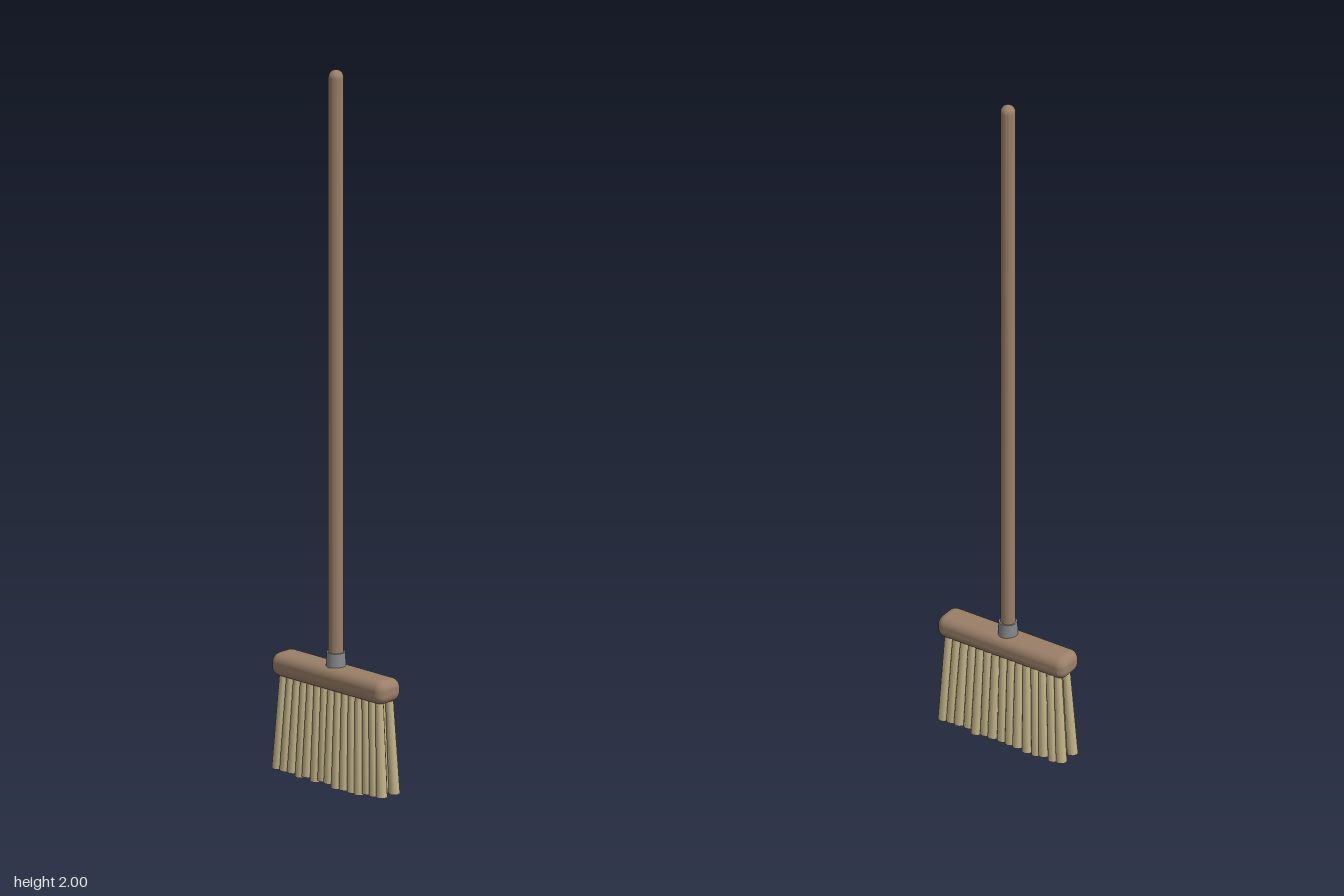
import * as THREE from 'three';
import { RoundedBoxGeometry } from 'three/addons/geometries/RoundedBoxGeometry.js';

const wood = new THREE.MeshStandardMaterial({ color: 0x9a7f68 });
const metal = new THREE.MeshStandardMaterial({ color: 0x85888c });
const straw = new THREE.MeshStandardMaterial({ color: 0xc4b58a });

// Small seeded generator, returns -1..1
function makeJitter(seed) {
  return () => {
    seed = (seed * 16807) % 2147483647;
    return (seed / 2147483647) * 2 - 1;
  };
}

function addMesh(parent, name, geometry, material, y = 0) {
  const mesh = new THREE.Mesh(geometry, material);
  mesh.name = name;
  mesh.position.y = y;
  parent.add(mesh);
  return mesh;
}

export function createModel() {
  const broom = new THREE.Group();
  broom.name = 'broom';
  const body = new THREE.Group();
  body.name = 'body';
  body.position.x = -0.002;
  broom.add(body);

  // Long round handle with a domed tip
  const profile = [new THREE.Vector2(0, 0.31), new THREE.Vector2(0.0205, 0.31)];
  for (let i = 0; i <= 6; i++) {
    const a = (i / 6) * Math.PI / 2;
    profile.push(new THREE.Vector2(0.0205 * Math.cos(a), 1.98 + 0.02 * Math.sin(a)));
  }
  addMesh(body, 'handle', new THREE.LatheGeometry(profile, 24), wood);

  // Metal collar where the handle meets the head
  addMesh(body, 'collar', new THREE.CylinderGeometry(0.025, 0.028, 0.05, 24), metal, 0.348);

  // Rounded wooden head
  addMesh(body, 'head', new RoundedBoxGeometry(0.412, 0.065, 0.087, 5, 0.026), wood, 0.303);

  // Two rows of tapered bristle bundles, splayed outwards
  const bristles = new THREE.Group();
  bristles.name = 'bristles';
  broom.add(bristles);
  const jitter = makeJitter(4217);
  const up = new THREE.Vector3(0, 1, 0);
  const count = 15;
  for (const side of [1, -1]) {
    for (let i = 0; i < count; i++) {
      const t = (i / (count - 1)) * 2 - 1;
      const top = new THREE.Vector3(t * 0.175, 0.285, side * 0.019);
      const end = new THREE.Vector3(
        t * 0.19 + jitter() * 0.003, 0.009 + jitter() * 0.006, side * 0.025 + jitter() * 0.002);
      const axis = top.clone().sub(end);
      const bundle = addMesh(bristles, 'bristleBundle',
        new THREE.CylinderGeometry(0.011, 0.0155, axis.length(), 10), straw);
      bundle.position.copy(top).add(end).multiplyScalar(0.5);
      bundle.quaternion.setFromUnitVectors(up, axis.normalize());
    }
  }
  return broom;
}
